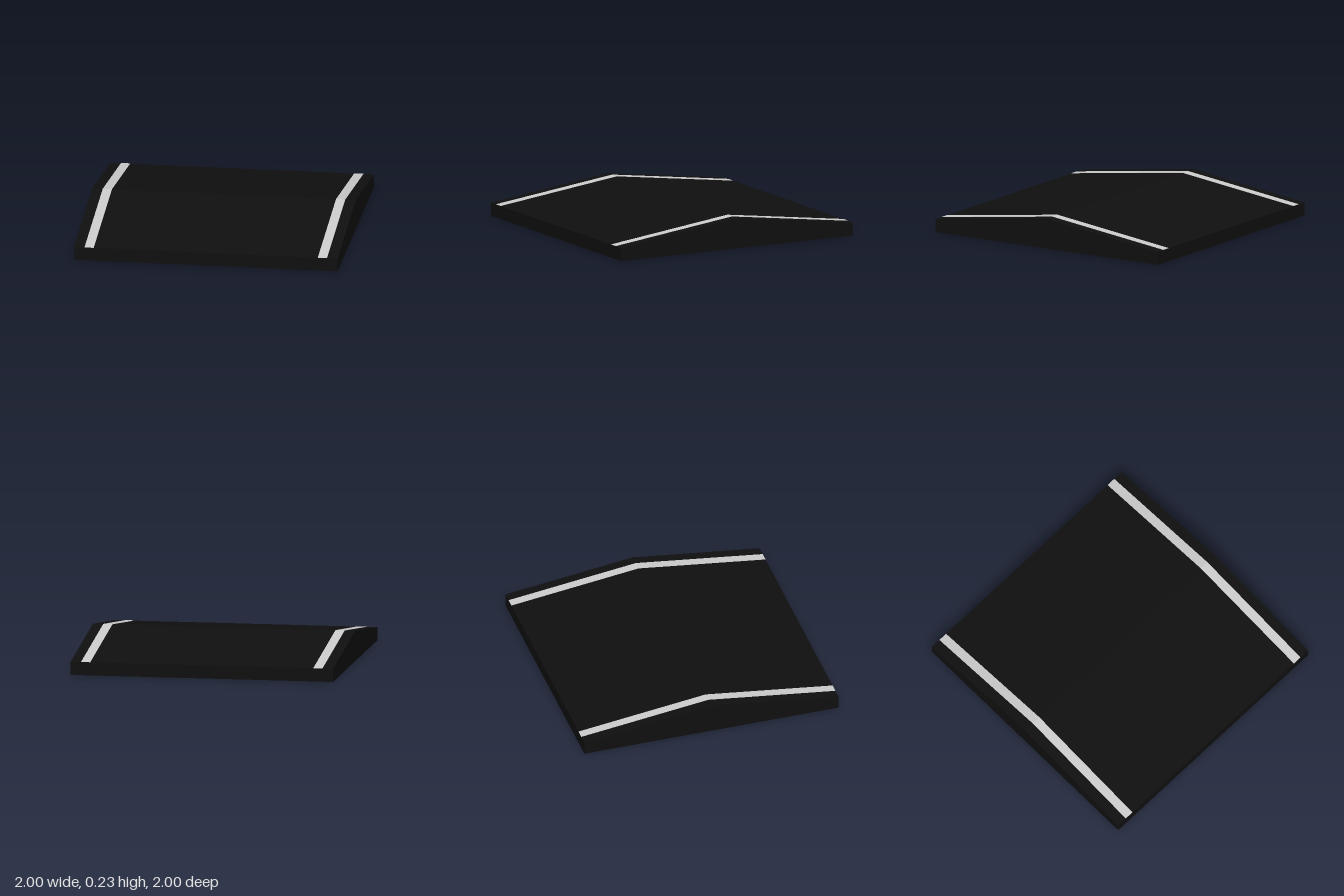
import * as THREE from 'three';

const EDGE = 0.1, RIDGE = 0.23, LIFT = 0.002;

// Extrudes a side profile of [z, y] points across x, centred on the given x
function prism(name, points, width, x, material) {
  const shape = new THREE.Shape(points.map(([z, y]) => new THREE.Vector2(z, y)));
  const geometry = new THREE.ExtrudeGeometry(shape, { depth: width, bevelEnabled: false });
  geometry.translate(0, 0, -width / 2).rotateY(Math.PI / 2);
  const mesh = new THREE.Mesh(geometry, material);
  mesh.name = name;
  mesh.position.x = x;
  return mesh;
}

export function createModel() {
  const group = new THREE.Group();
  group.name = 'speedRamp';
  const black = new THREE.MeshStandardMaterial({ color: 0x0f0f0f, flatShading: true });
  const grey = new THREE.MeshStandardMaterial({ color: 0xcccccc, flatShading: true });

  // Ramp body: low at front and back, ridge along the middle
  const body = [[-1, 0], [1, 0], [1, EDGE], [0, RIDGE], [-1, EDGE]];
  group.add(prism('rampBody', body, 2, 0, black));

  // Thin stripes following both slopes, one near each side
  const stripe = [
    [-1, EDGE], [0, RIDGE], [1, EDGE],
    [1, EDGE + LIFT], [0, RIDGE + LIFT], [-1, EDGE + LIFT],
  ];
  for (const [name, side] of [['leftStripe', 1], ['rightStripe', -1]]) {
    group.add(prism(name, stripe, 0.07, side * 0.885, grey));
  }
  return group;
}
